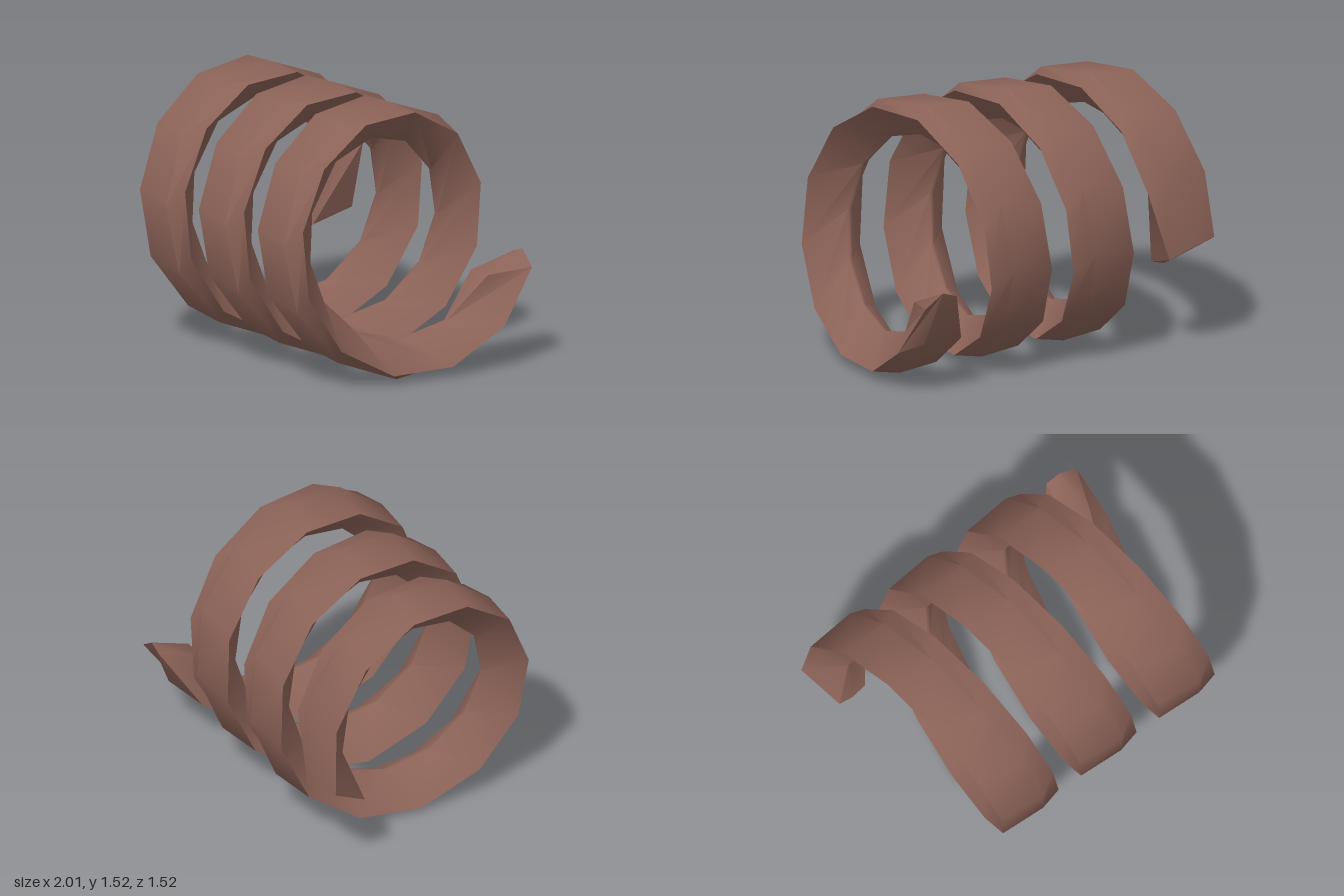
import * as THREE from 'three';
import { toCreasedNormals } from 'three/addons/utils/BufferGeometryUtils.js';

const CENTRE_Y = 0.763;
const PITCH = 0.555;
const RAD = Math.PI / 180;

// Slanted cross-section: [x at angle 450, radius, angle offset in degrees]
const SECTION = [
  [-0.31, 0.742, -9], // left rim
  [-0.03, 0.765, -6], // crown of the outer face
  [0.08, 0.728, -14], // right rim
  [-0.136, 0.554, -30], // narrow inner ridge
  [-0.146, 0.552, -30],
  [-0.156, 0.554, -30],
];

// One ring of the helix; angle 0 is the back, 90 the top, 180 the front
function ring(angle) {
  return SECTION.map(([x, r, offset]) => {
    const a = (angle + offset) * RAD;
    return [x + ((angle - 450) / 360) * PITCH, CENTRE_Y + r * Math.sin(a), -r * Math.cos(a)];
  });
}

function buildCoil() {
  // End rings: narrower outside, with the ridge flared to a blunt edge
  const start = [[-1.0, 0.645, -0.725], [-0.84, 0.62, -0.755], [-0.7, 0.56, -0.72],
    [-0.74, 0.485, -0.48], [-0.83, 0.46, -0.475], [-0.92, 0.485, -0.48]];
  const end = [[0.77, 0.61, -0.76], [0.86, 0.64, -0.755], [0.97, 0.56, -0.74],
    [0.88, 0.53, -0.5], [0.8, 0.53, -0.5], [0.72, 0.53, -0.5]];
  const rings = [start];
  for (let angle = 30; angle <= 1050; angle += 30) rings.push(ring(angle));
  rings.push(end);

  const n = SECTION.length;
  const index = [];
  // Side walls
  for (let i = 0; i < rings.length - 1; i++) {
    for (let j = 0; j < n; j++) {
      const k = (j + 1) % n;
      const a = i * n + j, b = i * n + k, c = a + n, d = b + n;
      index.push(a, c, b, b, c, d);
    }
  }
  // End caps, fanned from the crown
  const last = (rings.length - 1) * n;
  for (let j = 2; j <= n; j++) {
    const k = (j + 1) % n;
    if (j === n) break;
    index.push(1, j, k);
    index.push(last + 1, last + k, last + j);
  }

  const geometry = new THREE.BufferGeometry();
  geometry.setAttribute('position', new THREE.Float32BufferAttribute(rings.flat(2), 3));
  geometry.setIndex(index);
  return toCreasedNormals(geometry, 45 * RAD);
}

export function createModel() {
  const group = new THREE.Group();
  group.name = 'coil';
  const brown = new THREE.MeshStandardMaterial({ color: 0x8b6257, side: THREE.DoubleSide });
  brown.name = 'dusty brown';
  const coil = new THREE.Mesh(buildCoil(), brown);
  coil.name = 'spiralBand';
  group.add(coil);
  return group;
}
